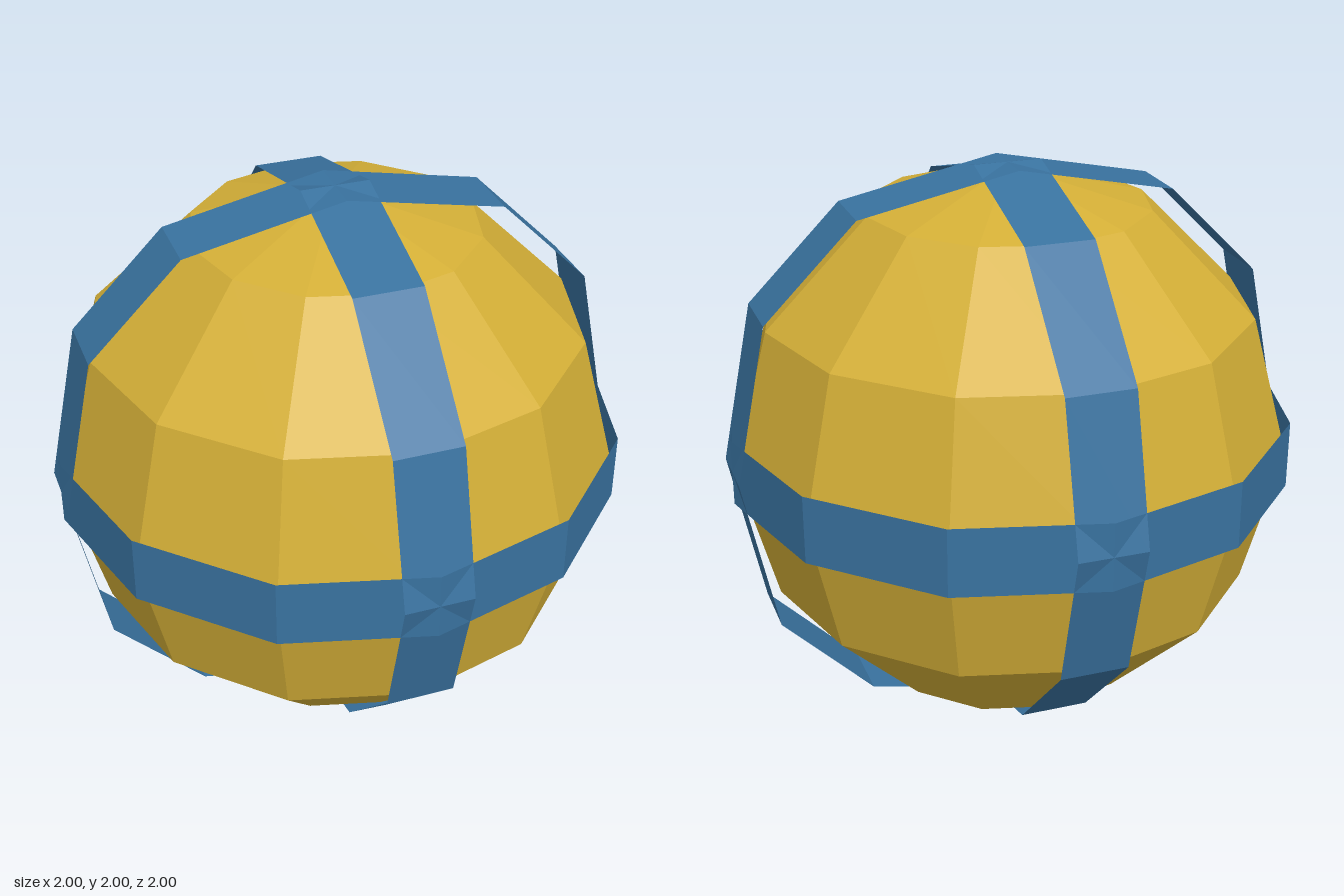
import * as THREE from 'three';

const gold = new THREE.MeshStandardMaterial({ color: 0xd4af37, flatShading: true });
gold.name = 'gold';
const blue = new THREE.MeshStandardMaterial({ color: 0x39729f, flatShading: true, side: THREE.DoubleSide });
blue.name = 'blue';

const HALF_WIDTH = 0.12;

// Open twelve-sided hoop around y; a and b place the two corners between the axes
function hoopGeometry(a, b) {
  const quarter = [[0, 1], [a, b], [b, a]];
  const ring = [];
  for (let q = 0; q < 4; q++) {
    for (const [px, pz] of quarter) {
      let x = px, z = pz;
      for (let k = 0; k < q; k++) [x, z] = [z, -x];
      ring.push([x, z]);
    }
  }
  const positions = [];
  ring.forEach(([x0, z0], i) => {
    const [x1, z1] = ring[(i + 1) % ring.length];
    const h = HALF_WIDTH;
    positions.push(
      x0, -h, z0, x1, -h, z1, x1, h, z1,
      x0, -h, z0, x1, h, z1, x0, h, z0
    );
  });
  const geometry = new THREE.BufferGeometry();
  geometry.setAttribute('position', new THREE.Float32BufferAttribute(positions, 3));
  return geometry;
}

export function createModel() {
  const group = new THREE.Group();
  group.name = 'bandedBall';

  function add(name, geometry, material) {
    geometry.computeVertexNormals();
    const mesh = new THREE.Mesh(geometry, material);
    mesh.name = name;
    mesh.position.y = 1;
    group.add(mesh);
  }

  // Faceted ball
  add('ball', new THREE.SphereGeometry(0.99, 12, 6).toNonIndexed(), gold);

  // Three crossing hoops; the side-to-side one bulges slightly off the ball
  add('equatorBand', hoopGeometry(0.5, 0.866), blue);
  add('frontBackBand', hoopGeometry(0.5, 0.866).rotateZ(Math.PI / 2), blue);
  add('sideBand', hoopGeometry(0.56, 0.885).rotateX(Math.PI / 2), blue);

  return group;
}
